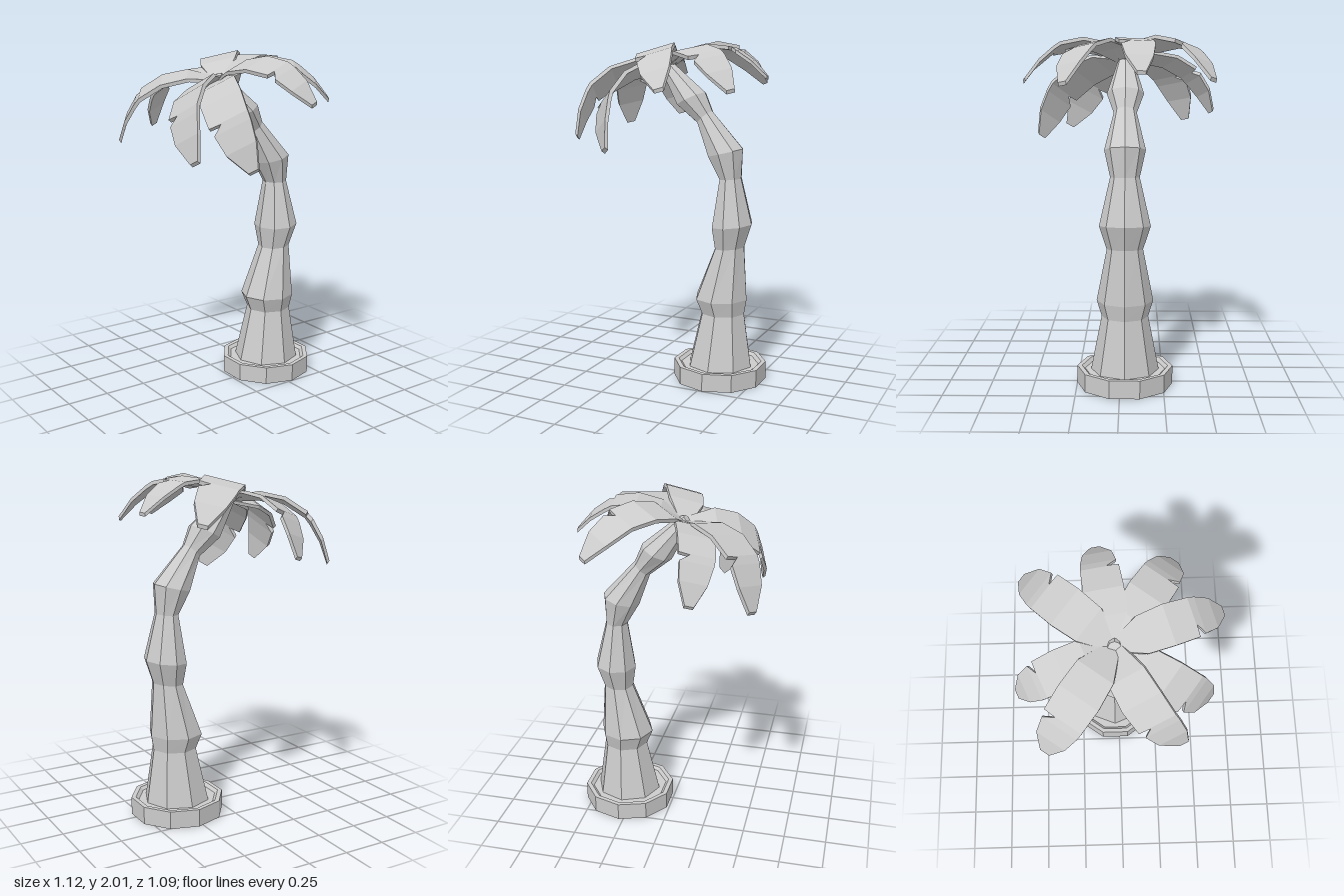
import * as THREE from 'three';

const material = new THREE.MeshStandardMaterial({ color: 0xcccccc, flatShading: true });

// Closed solid through rings of points that turn anticlockwise about the direction of travel
function loft(rings) {
  const pos = [];
  const tri = (...pts) => pts.forEach((p) => pos.push(p.x, p.y, p.z));
  const n = rings[0].length;
  for (let k = 0; k < rings.length - 1; k++) {
    const a = rings[k], b = rings[k + 1];
    for (let i = 0; i < n; i++) {
      const j = (i + 1) % n;
      tri(a[i], a[j], b[j]);
      tri(a[i], b[j], b[i]);
    }
  }
  const first = rings[0], last = rings[rings.length - 1];
  for (let i = 1; i < n - 1; i++) {
    tri(first[0], first[i + 1], first[i]);
    tri(last[0], last[i], last[i + 1]);
  }
  const geometry = new THREE.BufferGeometry();
  geometry.setAttribute('position', new THREE.Float32BufferAttribute(pos, 3));
  geometry.computeVertexNormals();
  return geometry;
}

function addMesh(parent, name, geometry) {
  const mesh = new THREE.Mesh(geometry, material);
  mesh.name = name;
  parent.add(mesh);
  return mesh;
}

// Ten-sided stand with a raised rim
function makeBase() {
  const profile = [[0, 0], [0.277, 0], [0.277, 0.105], [0.25, 0.105], [0.232, 0.088], [0, 0.088]];
  return new THREE.LatheGeometry(profile.map(([r, y]) => new THREE.Vector2(r, y)), 10, Math.PI / 2);
}

// Eight-sided trunk: height, z, radius across x, radius along the lean, forward tilt
const TRUNK = [
  [0.085, -0.28, 0.197, 0.197, 0],
  [0.41, -0.295, 0.134, 0.134, 0],
  [0.50, -0.284, 0.163, 0.16, 0],
  [0.81, -0.334, 0.103, 0.09, 0.08],
  [0.945, -0.347, 0.146, 0.122, 0.09],
  [1.22, -0.335, 0.083, 0.065, 0.05],
  [1.37, -0.302, 0.117, 0.11, 0.24],
  [1.57, -0.172, 0.066, 0.058, 0.72],
  [1.675, -0.085, 0.108, 0.094, 0.45],
  [1.85, 0.065, 0.05, 0.045, 0.75],
  [1.875, 0.09, 0.035, 0.03, 0.75],
];

function makeTrunk() {
  return loft(TRUNK.map(([y, z, rx, rz, tilt]) => {
    const ring = [];
    for (let i = 0; i < 8; i++) {
      const a = (i / 8) * Math.PI * 2;
      const d = -Math.sin(a) * rz;
      ring.push(new THREE.Vector3(Math.cos(a) * rx - 0.028, y - d * Math.sin(tilt), z + d * Math.cos(tilt)));
    }
    return ring;
  }));
}

// Leaf blade arching along its chord: distance, rise, left edge, right edge
const BLADE = [
  [0, 0, -0.035, 0.035],
  [0.13, 0.11, -0.105, 0.105],
  [0.27, 0.16, -0.118, 0.112],
  [0.415, 0.158, -0.112, 0.108],
  [0.42, 0.156, -0.112, 0.04],
  [0.46, 0.14, -0.108, 0.098],
  [0.56, 0.085, -0.085, 0.085],
  [0.66, 0, -0.03, 0.025],
];

function makeLeaf() {
  const half = 0.011;
  return loft(BLADE.map(([s, h, left, right]) => [
    new THREE.Vector3(s, h + half, right),
    new THREE.Vector3(s, h - half, right),
    new THREE.Vector3(s, h - half, left),
    new THREE.Vector3(s, h + half, left),
  ]));
}

// Leaf tips (x, y, z) and extra roll about the chord
const TIPS = [
  [-0.115, 1.80, -0.52, 0],
  [0.31, 1.74, -0.46, 0],
  [0.55, 1.75, -0.15, 0],
  [0.49, 1.41, 0.21, 0.3],
  [0.33, 1.46, 0.48, 0.4],
  [-0.41, 1.50, 0.52, 0],
  [-0.55, 1.56, 0.21, 0],
  [-0.51, 1.76, -0.37, 0],
];

export function createModel() {
  const model = new THREE.Group();
  model.name = 'palmTree';

  const base = addMesh(model, 'base', makeBase());
  base.position.set(-0.028, 0, -0.278);
  addMesh(model, 'trunk', makeTrunk());

  // Crown of leaves leaning forward
  const crown = new THREE.Group();
  crown.name = 'crown';
  model.add(crown);
  const centre = new THREE.Vector3(-0.03, 1.855, 0.075);
  const axis = new THREE.Vector3(0, Math.cos(0.3), Math.sin(0.3));
  const leafGeometry = makeLeaf();
  TIPS.forEach(([x, y, z, roll], i) => {
    const out = new THREE.Vector3(x, y, z).sub(centre);
    const length = out.length();
    out.normalize();
    const side = new THREE.Vector3().crossVectors(out, axis).normalize();
    const up = new THREE.Vector3().crossVectors(side, out);
    const leaf = addMesh(crown, `leaf${i + 1}`, leafGeometry);
    leaf.quaternion.setFromRotationMatrix(new THREE.Matrix4().makeBasis(out, up, side));
    leaf.rotateX(roll);
    leaf.position.copy(centre);
    leaf.scale.setScalar(length / 0.66);
  });
  return model;
}
